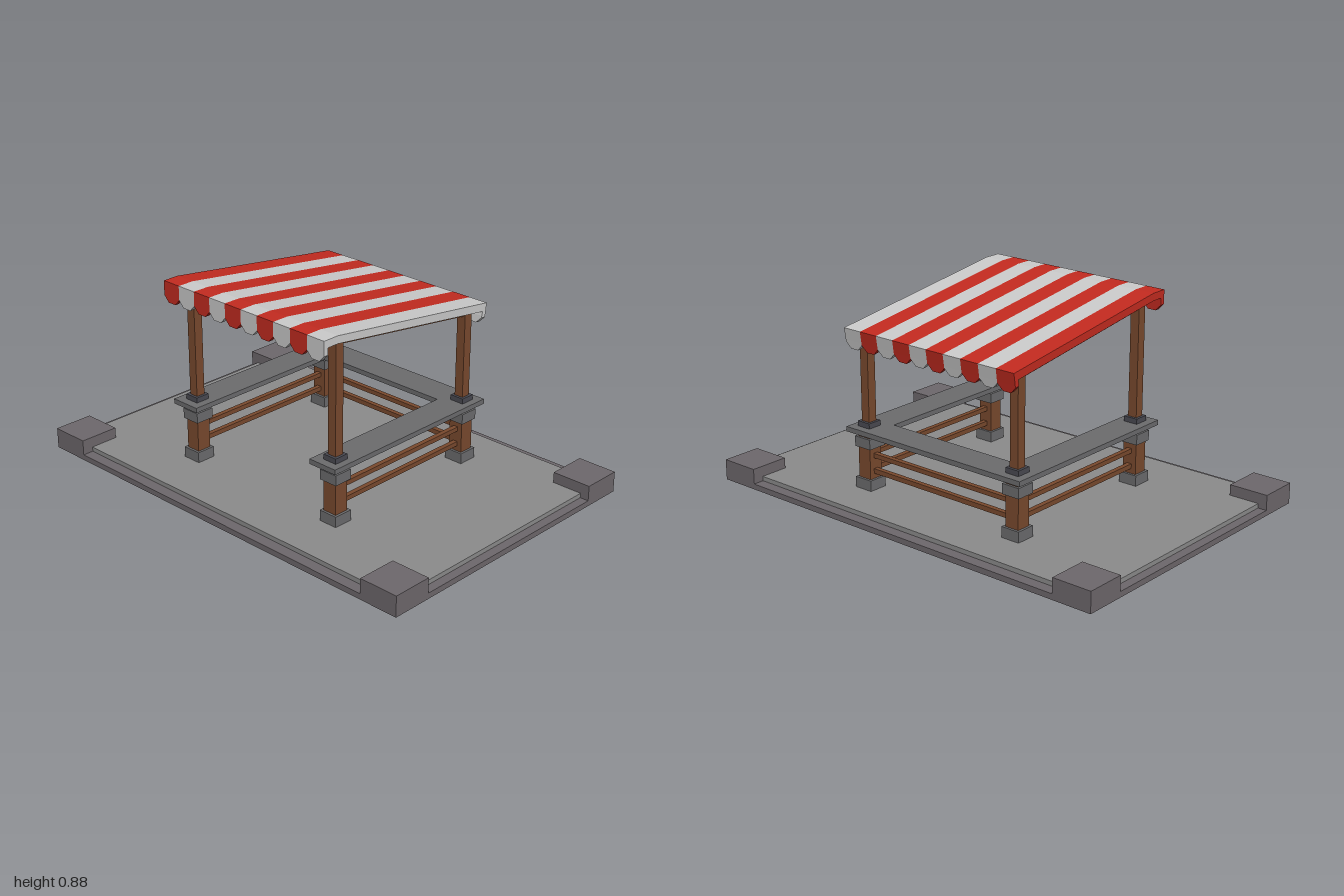
import * as THREE from 'three';

const mat = (color) => new THREE.MeshStandardMaterial({ color, flatShading: true });

export function createModel() {
  const root = new THREE.Group();
  const wood = mat(0x7a4a2e), stone = mat(0x6e686c), paving = mat(0x8c8c8c);
  const slate = mat(0x6c6c6e), iron = mat(0x4a4a52), red = mat(0xc42b20), pale = mat(0xcccccc);

  const add = (name, geometry, material, parent = root) => {
    const mesh = new THREE.Mesh(geometry, material);
    mesh.name = name;
    parent.add(mesh);
    return mesh;
  };
  // Box given by its lower and upper limits on each axis
  const box = (name, material, [x0, x1], [y0, y1], [z0, z1], parent) => {
    const mesh = add(name, new THREE.BoxGeometry(x1 - x0, y1 - y0, z1 - z0), material, parent);
    mesh.position.set((x0 + x1) / 2, (y0 + y1) / 2, (z0 + z1) / 2);
    return mesh;
  };
  const around = (c, w) => [c - w / 2, c + w / 2];
  const polygon = (points) => new THREE.Shape(points.map(([x, y]) => new THREE.Vector2(x, y)));

  // Ground: kerb slab, raised paving and four corner blocks
  box('kerb', stone, [-0.68, 0.68], [0, 0.025], [-1, 1]);
  box('paving', paving, [-0.63, 0.63], [0.01, 0.045], [-0.96, 0.96]);
  for (const sx of [-1, 1]) for (const sz of [-1, 1])
    box('cornerBlock', stone, around(sx * 0.59, 0.18), [0, 0.092], around(sz * 0.91, 0.18));

  // Posts with stone footing, collar and cap; the +x side is lower
  const postX = [-0.365, 0.405], postZ = [-0.42, 0.39];
  const roofY = (x) => 0.83 - (x + 0.365) * 0.14;
  for (const x of postX) for (const z of postZ) {
    const post = new THREE.Group();
    post.name = 'post';
    root.add(post);
    const part = (name, material, w, y) => box(name, material, around(x, w), y, around(z, w), post);
    part('footing', slate, 0.088, [0.04, 0.092]);
    part('lowerPost', wood, 0.066, [0.09, 0.3]);
    part('collar', slate, 0.086, [0.23, 0.275]);
    part('postCap', iron, 0.066, [0.29, 0.342]);
    part('upperPost', wood, 0.042, [0.34, roofY(x) + 0.005]);
  }

  // Rails on three sides, the -x side stays open
  for (const y of [[0.115, 0.136], [0.185, 0.205]]) {
    for (const z of postZ) box('sideRail', wood, postX, y, around(z, 0.022));
    box('frontRail', wood, around(postX[1], 0.022), y, postZ);
  }

  // U-shaped counter
  const counter = add('counter', new THREE.ExtrudeGeometry(polygon([
    [-0.435, -0.455], [0.475, -0.455], [0.475, 0.49], [-0.435, 0.49],
    [-0.435, 0.35], [0.335, 0.35], [0.335, -0.315], [-0.435, -0.315],
  ]), { depth: 0.022, bevelEnabled: false }), slate);
  counter.rotation.x = -Math.PI / 2;
  counter.position.y = 0.297;

  // Roof frame: two sloping beams and two cross beams
  const [xa, xb] = postX;
  for (const z of postZ) {
    const beam = add('slopingBeam', new THREE.BoxGeometry(0.79, 0.024, 0.026), wood);
    beam.position.set((xa + xb) / 2, roofY((xa + xb) / 2) - 0.005, z);
    beam.rotation.z = -Math.atan(0.14);
  }
  for (const x of postX) box('crossBeam', wood, around(x, 0.026), around(roofY(x) - 0.006, 0.024), postZ);

  // Awning: ten stripes, each a bent strip with a cut tab at both ends
  const stripes = 10, w = 0.091, tilt = -0.14;
  const strip = new THREE.ExtrudeGeometry(polygon([
    [-0.485, 0.82], [-0.463, 0.82], [-0.463, 0.842], [-0.41, 0.842], [0.455, 0.721],
    [0.45, 0.703], [0.472, 0.7], [0.48, 0.753], [-0.41, 0.875], [-0.485, 0.875],
  ]), { depth: w, bevelEnabled: false });
  const tab = new THREE.ExtrudeGeometry(polygon([
    [-w / 2, 0], [-w / 2, -0.008], [-0.02, -0.035], [0.02, -0.035], [w / 2, -0.008], [w / 2, 0],
  ]), { depth: 0.022, bevelEnabled: false });
  tab.translate(0, 0, -0.011).rotateY(-Math.PI / 2);
  for (let i = 0; i < stripes; i++) {
    const cloth = i % 2 ? pale : red, z = -0.465 + i * w;
    add('awningStripe', strip, cloth).position.z = z;
    add('highTab', tab, cloth).position.set(-0.474, 0.82, z + w / 2);
    const low = add('lowTab', tab, cloth);
    low.position.set(0.461, 0.7015, z + w / 2);
    low.rotation.z = tilt;
  }
  return root;
}
